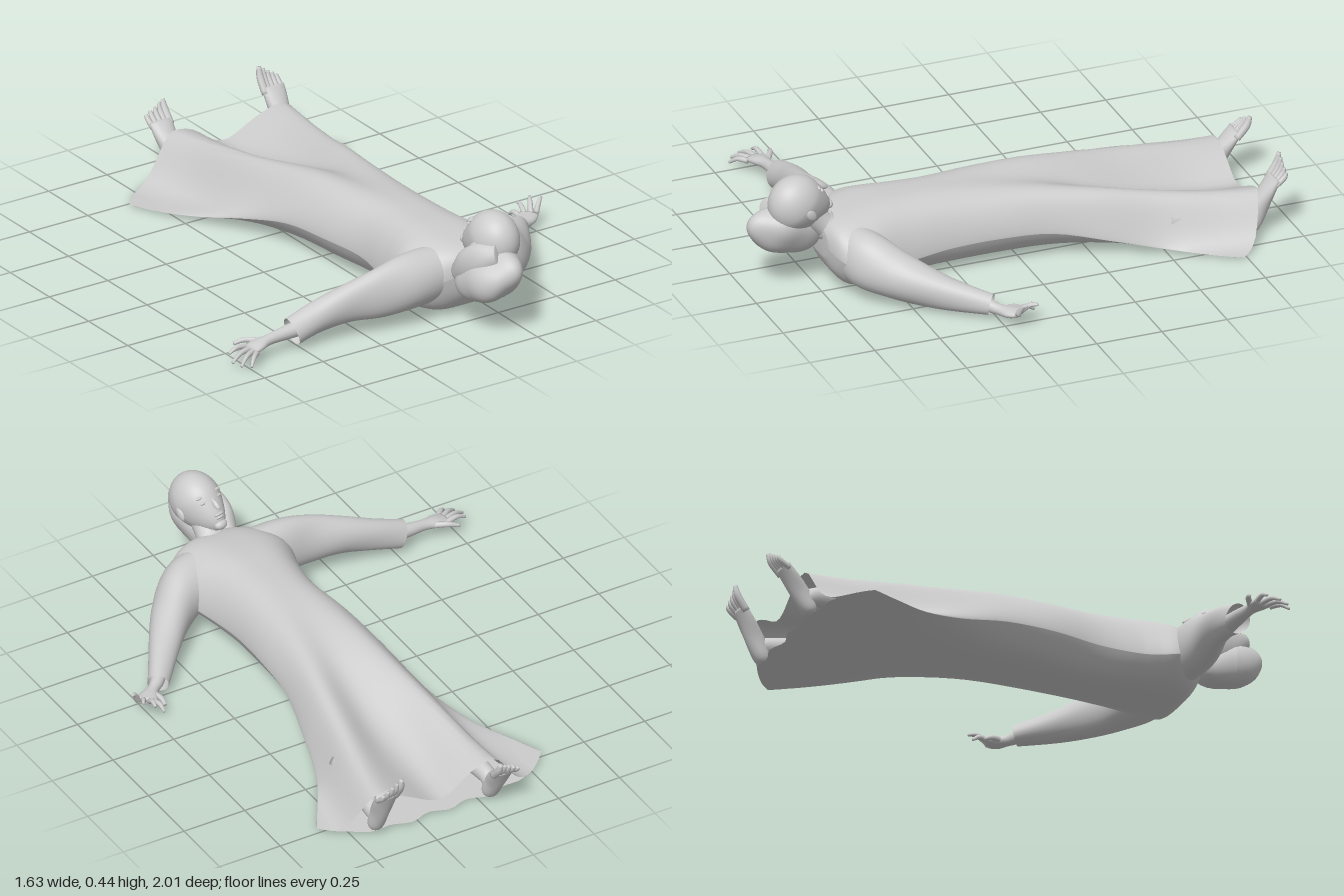
import * as THREE from 'three';

const V = (a) => new THREE.Vector3(a[0], a[1], a[2]);
const mat = new THREE.MeshStandardMaterial({ color: 0xcccccc, side: THREE.DoubleSide });

// Smooth value between rows of a station table.
function sample(table, t) {
  const f = t * (table.length - 1), k = Math.min(Math.floor(f), table.length - 2), w = f - k;
  const a = table[Math.max(k - 1, 0)], d = table[Math.min(k + 2, table.length - 1)];
  return table[k].map((b, j) => {
    const c = table[k + 1][j], m0 = (c - a[j]) / 2, m1 = (d[j] - b) / 2;
    return b + w * (m0 + w * (3 * (c - b) - 2 * m0 - m1 + w * (2 * (b - c) + m0 + m1)));
  });
}

// Skin a list of closed rings; optionally cap the ends.
function loft(name, rings, capA = true, capB = true) {
  const n = rings[0].length, pos = [], idx = [];
  rings.forEach((r) => r.forEach((p) => pos.push(p.x, p.y, p.z)));
  for (let i = 0; i < rings.length - 1; i++) {
    for (let j = 0; j < n; j++) {
      const a = i * n + j, b = i * n + ((j + 1) % n);
      idx.push(a, b, a + n, b, b + n, a + n);
    }
  }
  const cap = (ringIndex, flip) => {
    const c = new THREE.Vector3();
    rings[ringIndex].forEach((p) => c.addScaledVector(p, 1 / n));
    const k = pos.length / 3;
    pos.push(c.x, c.y, c.z);
    for (let j = 0; j < n; j++) {
      const a = ringIndex * n + j, b = ringIndex * n + ((j + 1) % n);
      if (flip) idx.push(k, b, a); else idx.push(k, a, b);
    }
  };
  if (capA) cap(0, true);
  if (capB) cap(rings.length - 1, false);
  const g = new THREE.BufferGeometry();
  g.setAttribute('position', new THREE.Float32BufferAttribute(pos, 3));
  g.setIndex(idx);
  g.computeVertexNormals();
  const m = new THREE.Mesh(g, mat);
  m.name = name;
  return m;
}

// Sweep an ellipse through stations [x, y, z, half width, half height].
function limb(name, pts, { steps = 16, sides = 16, open = false, wave = 0 } = {}) {
  const up = new THREE.Vector3(0, 1, 0), rings = [];
  for (let i = 0; i <= steps; i++) {
    const t = i / steps, s = sample(pts, t), p = V(s);
    const tan = V(sample(pts, Math.min(1, t + 0.02))).sub(V(sample(pts, Math.max(0, t - 0.02)))).normalize();
    const side = new THREE.Vector3().crossVectors(up, tan).normalize();
    const nor = new THREE.Vector3().crossVectors(tan, side);
    const ring = [];
    for (let j = 0; j < sides; j++) {
      const a = (j / sides) * Math.PI * 2, r = 1 + wave * Math.sin(3 * a + 9 * t);
      ring.push(p.clone().addScaledVector(side, Math.cos(a) * s[3] * r).addScaledVector(nor, Math.sin(a) * s[4] * r));
    }
    rings.push(ring);
  }
  return loft(name, rings, !open, !open);
}

function ellipsoid(name, center, radii, rule) {
  const g = new THREE.SphereGeometry(1, 40, 28);
  const p = g.attributes.position;
  for (let i = 0; i < p.count; i++) {
    const v = new THREE.Vector3().fromBufferAttribute(p, i).multiply(V(radii));
    if (rule) rule(v);
    p.setXYZ(i, v.x, v.y, v.z);
  }
  g.computeVertexNormals();
  const m = new THREE.Mesh(g, mat);
  m.position.set(...center);
  m.name = name;
  return m;
}

// Robe: round body sections that widen into a hem draped over two spread legs.
function buildRobe() {
  // z, left x, right x, top y, bottom y, side edge y, drape amount, hem curve
  const st = [
    [0.735, 0.09, 0.27, 0.235, 0.13, 0.18, 0, 0], [0.71, 0.02, 0.35, 0.262, 0.075, 0.16, 0, 0],
    [0.66, -0.05, 0.385, 0.28, 0.025, 0.14, 0, 0], [0.58, -0.085, 0.38, 0.293, 0.02, 0.12, 0, 0],
    [0.50, -0.065, 0.355, 0.30, 0.02, 0.11, 0, 0], [0.42, -0.045, 0.338, 0.30, 0.02, 0.11, 0, 0],
    [0.28, -0.03, 0.325, 0.298, 0.02, 0.12, 0, 0], [0.10, -0.06, 0.33, 0.292, 0.02, 0.125, 0.08, 0],
    [-0.1, -0.085, 0.345, 0.282, 0.02, 0.115, 0.3, 0], [-0.3, -0.13, 0.39, 0.255, 0.018, 0.07, 0.6, 0.02],
    [-0.5, -0.205, 0.44, 0.218, 0.014, 0.03, 0.85, 0.2], [-0.7, -0.28, 0.515, 0.188, 0.012, 0.015, 1, 0.6],
    [-0.88, -0.335, 0.59, 0.178, 0.01, 0.012, 1, 1],
  ];
  const N = 48, rings = [], total = (st.length - 1) * 4;
  for (let i = 0; i <= total; i++) {
    const [z, xl, xr, top, bot, edge, drape, hem] = sample(st, i / total);
    const legT = THREE.MathUtils.clamp((0.2 - z) / 1.08, 0, 1);
    const legL = 0.07 - 0.12 * legT, legR = 0.25 + 0.16 * legT;
    const ring = [];
    for (let j = 0; j < 2 * N; j++) {
      const u = -Math.cos((Math.PI * j) / N), x = (xl + xr) / 2 + (u * (xr - xl)) / 2;
      let y = bot + (edge - bot) * u ** 4, dz = 0.15 * hem * u ** 4;
      if (j <= N) {
        const body = Math.pow(Math.max(0, 1 - Math.abs(u) ** 3), 0.6);
        const d = x < legL ? legL - x : x - legR;
        const s = (x - legL) / (legR - legL);
        const cloth = d > 0 ? Math.exp(-((d / 0.085) ** 2)) : 0.72 + 0.28 * Math.cos(s * 2 * Math.PI);
        y = edge + (top - edge) * ((1 - drape) * body + drape * cloth * (1 - u ** 8));
        y += 0.006 * drape * Math.sin(x * 30 + z * 7) * (1 - u * u);
      } else {
        dz += hem * (1 - u * u) * (0.025 + 0.012 * Math.sin(x * 40)); // wavy under hem
      }
      ring.push(new THREE.Vector3(x, y, z + dz));
    }
    rings.push(ring);
  }
  return loft('robe', rings, true, false);
}

function buildHand(name, palm, knuckles, tips, thumb) {
  const g = new THREE.Group();
  g.name = name;
  g.add(limb('forearmAndPalm', palm));
  tips.forEach((t, i) => {
    const a = V(knuckles[0]).lerp(V(knuckles[1]), i / 3), m = a.clone().lerp(V(t), 0.55);
    m.y += 0.012;
    g.add(limb('finger', [[...a.toArray(), 0.011, 0.011], [...m.toArray(), 0.009, 0.009], [...t, 0.005, 0.005]], { steps: 8, sides: 8 }));
  });
  g.add(limb('thumb', thumb.map((p, i) => [...p, 0.013 - i * 0.003, 0.013 - i * 0.003]), { steps: 8, sides: 8 }));
  return g;
}

// Foot rising from heel to toes; lean tips it away from the hem.
function buildFoot(name, x, z, lean, rise) {
  const g = new THREE.Group();
  g.name = name;
  const inner = x < 0.2 ? 1 : -1;
  const at = (dx, y, dz, rx, ry) => [x + dx, y * rise, z + dz - lean * y, rx, ry];
  g.add(limb('lowerLeg', [[x + inner * 0.03, 0.10, z + 0.3, 0.04, 0.045], [x + inner * 0.015, 0.095, z + 0.15, 0.038, 0.042],
    [x, 0.085, z + 0.02, 0.032, 0.036], at(0, 0.07, -0.02, 0.028, 0.03)]));
  g.add(limb('foot', [at(0, 0.012, 0.005, 0.014, 0.01), at(0, 0.035, -0.005, 0.03, 0.03), at(0, 0.10, -0.03, 0.033, 0.036),
    at(0, 0.16, -0.06, 0.044, 0.026), at(0, 0.205, -0.085, 0.047, 0.016)]));
  for (let i = 0; i < 5; i++) {
    const dx = inner * (0.037 - i * 0.0185), r = i ? 0.01 : 0.014;
    g.add(limb('toe', [at(dx, 0.185, -0.076, r, r), at(dx, 0.235 - 0.006 * i, -0.108, r, r),
      at(dx, 0.272 - 0.011 * i, -0.116, r * 0.6, r * 0.6)], { steps: 8, sides: 8 }));
  }
  return g;
}

function buildHead() {
  const g = new THREE.Group();
  g.name = 'head';
  // Local axes: y to the crown, z out of the face
  const f = new THREE.Vector3(-0.12, 0.63, -0.77).normalize();
  const side = new THREE.Vector3().crossVectors(new THREE.Vector3(0.15, 0.8, 0.6), f).normalize();
  const up = new THREE.Vector3().crossVectors(f, side);
  g.quaternion.setFromRotationMatrix(new THREE.Matrix4().makeBasis(side, up, f));
  g.position.set(0.18, 0.338, 0.82);
  g.add(ellipsoid('skull', [0, 0, 0], [0.087, 0.108, 0.106], (v) => {
    if (v.y < 0) {
      const t = -v.y / 0.108;
      v.x *= 1 - 0.25 * t;
      v.z += 0.045 * t * t;
      v.y *= 1.22;
    }
  }));
  g.add(ellipsoid('nose', [0, -0.035, 0.108], [0.01, 0.026, 0.012], (v) => { v.z -= v.y * 0.35; v.x *= 1 - v.y * 15; }));
  g.add(ellipsoid('upperLip', [0, -0.076, 0.1], [0.02, 0.006, 0.008]));
  g.add(ellipsoid('lowerLip', [0, -0.087, 0.097], [0.016, 0.006, 0.008]));
  g.add(ellipsoid('chin', [0, -0.113, 0.08], [0.026, 0.018, 0.018]));
  for (const s of [-1, 1]) {
    g.add(ellipsoid('eye', [s * 0.033, -0.016, 0.093], [0.015, 0.006, 0.007]));
    g.add(ellipsoid('brow', [s * 0.034, 0.006, 0.091], [0.021, 0.007, 0.007]));
    g.add(ellipsoid('ear', [s * 0.084, -0.02, 0], [0.009, 0.027, 0.017]));
  }
  return g;
}

// Loose hair gathered behind the head, with a lock along the neck
function buildHair() {
  const g = new THREE.Group();
  g.name = 'hair';
  g.add(ellipsoid('hairMass', [0.145, 0.225, 0.855], [0.095, 0.1, 0.143], (v) => {
    v.multiplyScalar(1 + 0.035 * Math.sin(v.x * 55 + v.y * 30) + 0.025 * Math.sin(v.z * 45 + v.y * 20));
    v.y += v.z * 0.2;
    v.x += v.y * 0.3;
  }));
  g.add(limb('hairSide', [[0.15, 0.31, 0.91, 0.04, 0.05], [0.11, 0.29, 0.86, 0.042, 0.06], [0.09, 0.25, 0.8, 0.04, 0.06],
    [0.09, 0.2, 0.74, 0.03, 0.04]], { sides: 24, wave: 0.05 }));
  return g;
}

export function createModel() {
  const model = new THREE.Group();
  model.name = 'recliningFigure';
  model.add(buildRobe(), buildHead(), buildHair());
  model.add(limb('neck', [[0.19, 0.19, 0.65, 0.075, 0.055], [0.18, 0.24, 0.72, 0.05, 0.045], [0.18, 0.30, 0.79, 0.05, 0.05]]));
  model.add(limb('collar', [[0.185, 0.2, 0.66, 0.1, 0.07], [0.182, 0.225, 0.7, 0.07, 0.055], [0.18, 0.24, 0.72, 0.058, 0.052]], { open: true }));

  // Sleeves
  const sleeve = { steps: 32, sides: 32, open: true, wave: 0.03 };
  model.add(limb('rightSleeve', [[0.13, 0.17, 0.63, 0.08, 0.098], [-0.04, 0.165, 0.64, 0.077, 0.106], [-0.17, 0.15, 0.635, 0.06, 0.096],
    [-0.3, 0.135, 0.615, 0.05, 0.073], [-0.42, 0.105, 0.6, 0.046, 0.06], [-0.53, 0.07, 0.595, 0.046, 0.054]], sleeve));
  model.add(limb('leftSleeve', [[0.22, 0.17, 0.635, 0.075, 0.095], [0.34, 0.15, 0.61, 0.095, 0.105], [0.44, 0.115, 0.535, 0.076, 0.09],
    [0.55, 0.08, 0.41, 0.056, 0.064], [0.66, 0.053, 0.265, 0.038, 0.038]], sleeve));

  model.add(buildHand('rightHand',
    [[-0.4, 0.09, 0.6, 0.035, 0.035], [-0.54, 0.075, 0.595, 0.027, 0.027], [-0.63, 0.068, 0.6, 0.021, 0.02], [-0.68, 0.062, 0.605, 0.034, 0.018], [-0.72, 0.055, 0.612, 0.036, 0.012]],
    [[-0.715, 0.058, 0.585], [-0.71, 0.05, 0.64]],
    [[-0.795, 0.05, 0.59], [-0.81, 0.035, 0.635], [-0.795, 0.03, 0.67], [-0.765, 0.028, 0.69]],
    [[-0.665, 0.065, 0.585], [-0.705, 0.07, 0.557], [-0.745, 0.06, 0.543]]));
  model.add(buildHand('leftHand',
    [[0.57, 0.075, 0.38, 0.035, 0.035], [0.65, 0.053, 0.285, 0.026, 0.026], [0.69, 0.045, 0.25, 0.021, 0.02], [0.725, 0.045, 0.22, 0.036, 0.018], [0.75, 0.05, 0.195, 0.038, 0.013]],
    [[0.72, 0.045, 0.185], [0.775, 0.055, 0.21]],
    [[0.715, 0.035, 0.125], [0.752, 0.07, 0.125], [0.793, 0.09, 0.14], [0.81, 0.1, 0.19]],
    [[0.7, 0.045, 0.225], [0.69, 0.045, 0.19], [0.692, 0.035, 0.16]]));

  model.add(buildFoot('rightFoot', -0.048, -0.85, 0.13, 0.88), buildFoot('leftFoot', 0.408, -0.83, 0.04, 1.05));
  return model;
}
